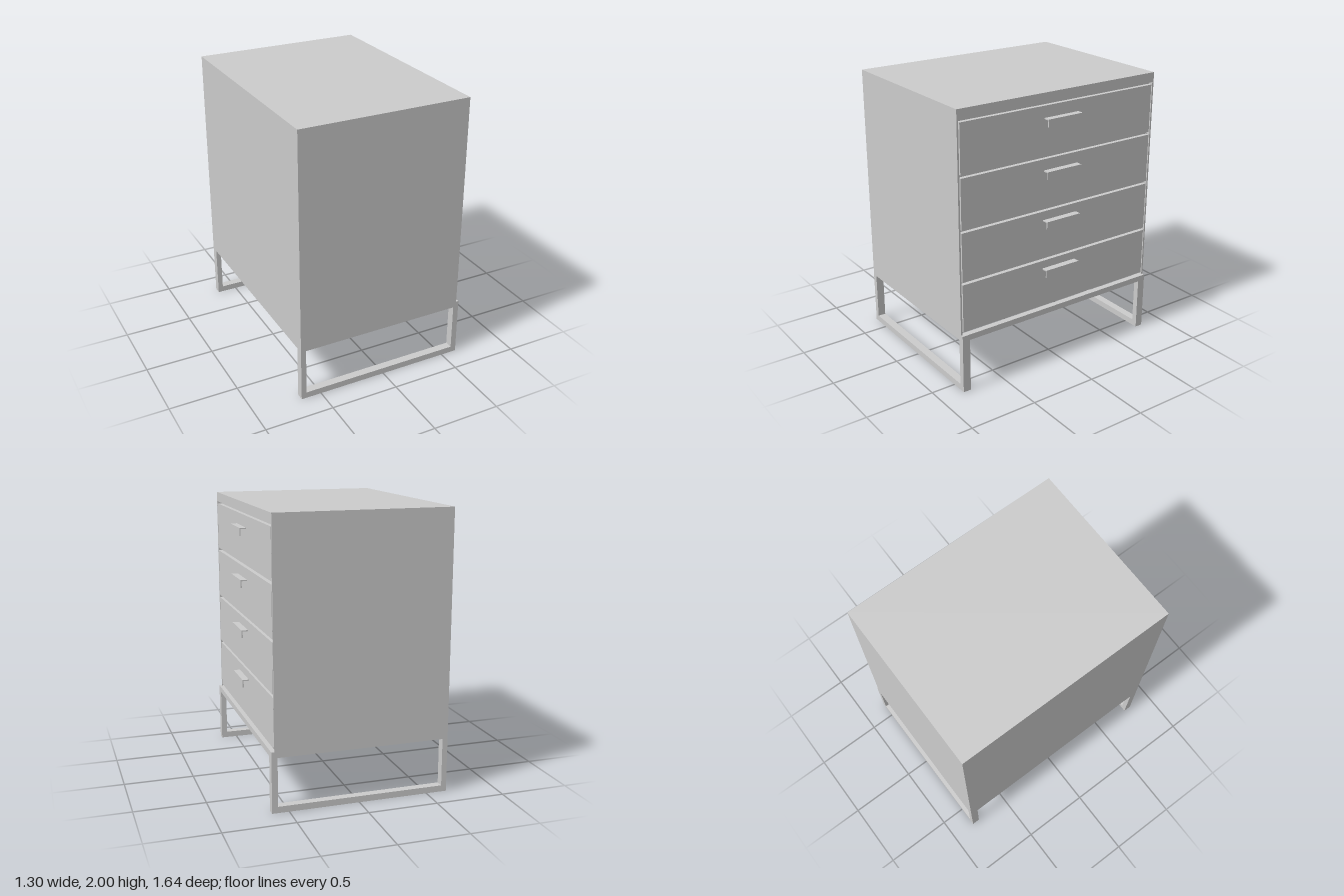
import * as THREE from 'three';

const material = new THREE.MeshStandardMaterial({ color: 0xcccccc });

// Box given by its minimum and maximum on each axis
function box(parent, name, [x0, x1], [y0, y1], [z0, z1]) {
  const mesh = new THREE.Mesh(new THREE.BoxGeometry(x1 - x0, y1 - y0, z1 - z0), material);
  mesh.position.set((x0 + x1) / 2, (y0 + y1) / 2, (z0 + z1) / 2);
  mesh.name = name;
  parent.add(mesh);
  return mesh;
}

function group(parent, name) {
  const g = new THREE.Group();
  g.name = name;
  parent.add(g);
  return g;
}

// Same z range on either side of the centre
const sideZ = (side, inner, outer) => (side > 0 ? [inner, outer] : [-outer, -inner]);

export function createModel() {
  const model = new THREE.Group();
  model.name = 'drawerCabinet';

  // Cabinet shell, open underneath; the drawers face +x
  const cabinet = group(model, 'cabinet');
  box(cabinet, 'top', [-0.65, 0.6], [1.93, 2], [-0.82, 0.82]);
  box(cabinet, 'rearPanel', [-0.65, -0.64], [0.39, 1.93], [-0.81, 0.81]);
  box(cabinet, 'drawerBacking', [0.565, 0.57], [0.43, 1.93], [-0.81, 0.81]);
  for (const s of [1, -1]) {
    box(cabinet, 'sidePanel', [-0.65, 0.6], [0.39, 1.93], sideZ(s, 0.808, 0.82));
  }

  // Four drawers, each with an angled pull
  const drawers = [[0.45, 0.8, 0.742], [0.82, 1.17, 1.106], [1.19, 1.545, 1.466], [1.567, 1.913, 1.83]];
  for (const [y0, y1, pullTop] of drawers) {
    const drawer = group(model, 'drawer');
    box(drawer, 'drawerFront', [0.57, 0.6], [y0, y1], [-0.8, 0.8]);
    box(drawer, 'handleTop', [0.6, 0.647], [pullTop - 0.008, pullTop], [-0.142, 0.142]);
    box(drawer, 'handleLip', [0.639, 0.647], [pullTop - 0.054, pullTop - 0.008], [-0.142, 0.142]);
  }

  // Sled base: a frame under each side, joined by a rail below the drawers
  const base = group(model, 'base');
  for (const s of [1, -1]) {
    const z = sideZ(s, 0.762, 0.82);
    const leg = group(base, 'legFrame');
    box(leg, 'floorBar', [-0.65, 0.62], [0, 0.045], z);
    box(leg, 'frontPost', [0.578, 0.62], [0.045, 0.432], z);
    box(leg, 'rearPost', [-0.65, -0.612], [0.045, 0.432], z);
  }
  box(base, 'frontRail', [0.578, 0.62], [0.39, 0.432], [-0.762, 0.762]);

  return model;
}
